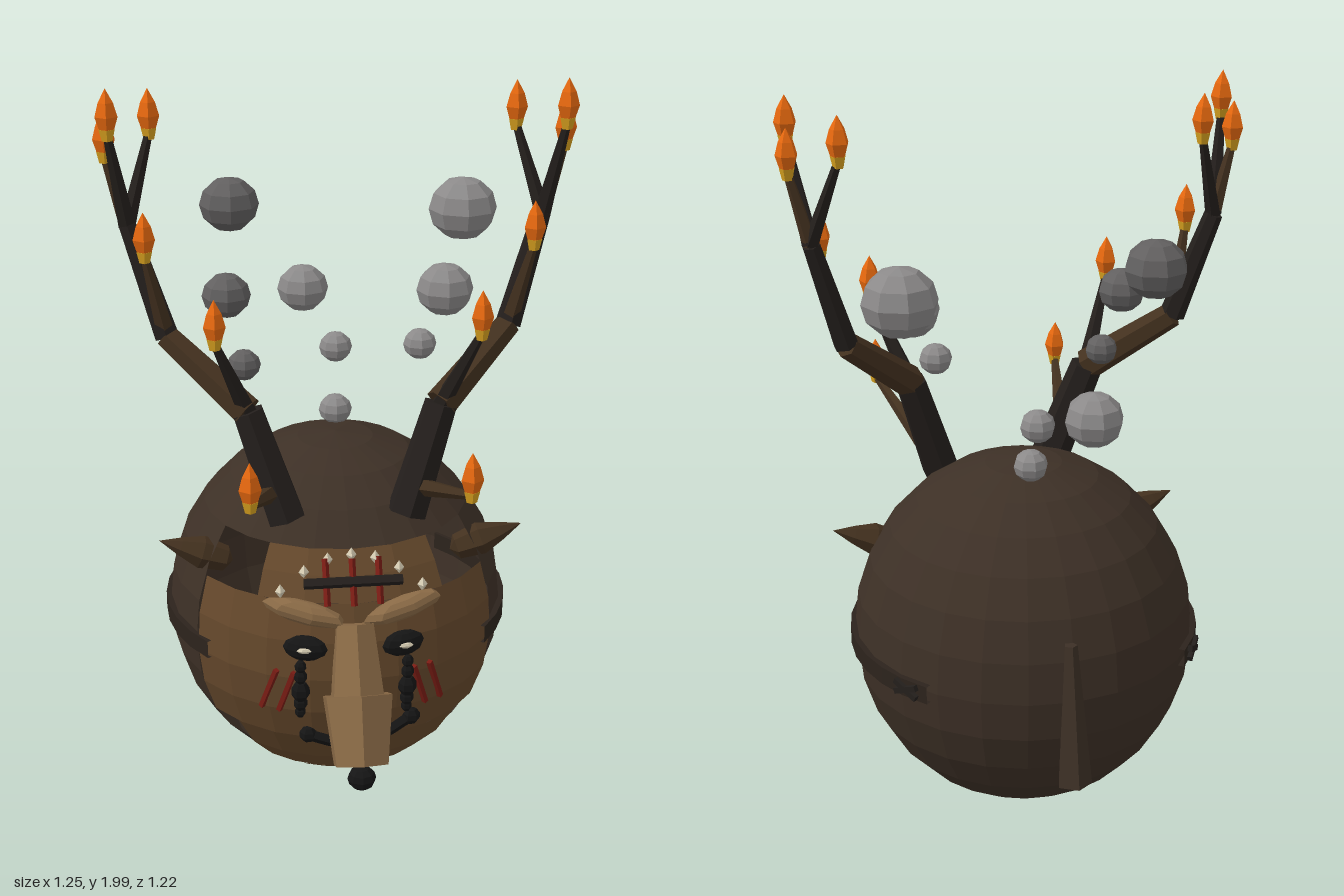
import * as THREE from 'three';
import { mergeGeometries } from 'three/addons/utils/BufferGeometryUtils.js';

const mat = (color, double) => new THREE.MeshStandardMaterial({
  color, flatShading: true, side: double ? THREE.DoubleSide : THREE.FrontSide });
const M = {
  hood: mat(0x3d3026, true), mask: mat(0x66492c, true), tan: mat(0x8a6a46), bark: mat(0x43311f),
  dark: mat(0x241f1c), black: mat(0x151515), red: mat(0x7a1c14), bone: mat(0xd8ceb4),
  flame: mat(0xe8690f), ember: mat(0xd9a21f), strap: mat(0x2c231c, true),
  smoke: mat(0x8c8a8a), soot: mat(0x626060),
};
const V = (x, y, z) => new THREE.Vector3(x, y, z);
const rad = THREE.MathUtils.degToRad;
const HEAD = V(0, 0.51, -0.07), RX = 0.47, RY = 0.5;

// z of the face surface at a given x, y
const faceZ = (x, y) =>
  HEAD.z + RX * Math.sqrt(Math.max(0, 1 - (x / RX) ** 2 - ((y - HEAD.y) / RY) ** 2));
const onFace = (x, y, lift = 0.01) => V(x, y, faceZ(x, y) + lift);

function add(parent, name, geo, material, pos) {
  const m = new THREE.Mesh(geo, material);
  m.name = name;
  if (pos) m.position.copy(pos);
  parent.add(m);
  return m;
}

// tapered stick from a to b
function limb(parent, name, a, b, ra, rb, material, sides = 6) {
  const d = b.clone().sub(a);
  const m = add(parent, name, new THREE.CylinderGeometry(rb, ra, d.length(), sides), material,
    a.clone().add(b).multiplyScalar(0.5));
  m.quaternion.setFromUnitVectors(V(0, 1, 0), d.normalize());
  return m;
}

function blob(parent, name, pos, sx, sy, sz, material, w = 8, h = 6) {
  const m = add(parent, name, new THREE.SphereGeometry(1, w, h), material, pos);
  m.scale.set(sx, sy, sz);
  return m;
}

// patch of the head ellipsoid, angles in degrees, phi measured from the front
function patch(phi0, phi1, th0, th1, segs, rows, k = 1) {
  return new THREE.SphereGeometry(1, segs, rows, rad(90 + phi0), rad(phi1 - phi0), rad(th0), rad(th1 - th0))
    .scale(RX * k, RY * k, RX * k);
}

function flame(parent, p) {
  const pts = [[0, -0.06], [0.016, -0.045], [0.03, 0], [0.02, 0.035], [0, 0.07]];
  add(parent, 'flame', new THREE.LatheGeometry(pts.map(q => new THREE.Vector2(...q)), 5), M.flame, p);
  add(parent, 'flameCup', new THREE.CylinderGeometry(0.021, 0.014, 0.03, 5), M.ember, V(p.x, p.y - 0.047, p.z));
}

function antler(s) {
  const g = new THREE.Group();
  g.name = s > 0 ? 'leftAntler' : 'rightAntler';
  const P = (x, y, z) => V(s * x, y, z);
  // main beam
  const beam = [P(0.16, 0.88, 0.21), P(0.255, 1.17, 0.16), P(0.455, 1.34, 0.03), P(0.545, 1.63, -0.02)];
  const r = [0.055, 0.045, 0.035, 0.025];
  for (let i = 0; i < 3; i++)
    limb(g, 'beam', beam[i], beam[i + 1], r[i], r[i + 1], i === 1 ? M.bark : M.dark);
  // tines, each ending in a flame
  const tines = [
    [P(0.2, 0.95, 0.2), P(0.275, 1.11, 0.52), 0.026, M.bark],
    [beam[1], P(0.34, 1.44, 0.255), 0.026, M.dark],
    [beam[2], P(0.505, 1.62, 0.08), 0.026, M.bark],
    [beam[3], P(0.48, 1.9, -0.085), 0.022, M.dark],
    [beam[3], P(0.585, 1.93, 0.05), 0.024, M.dark],
    [beam[3], P(0.595, 1.86, -0.01), 0.022, M.bark],
  ];
  for (const [a, b, ra, m] of tines) {
    limb(g, 'tine', a, V(b.x, b.y - 0.045, b.z), ra, 0.011, m, 5);
    flame(g, b);
  }
  return g;
}

function faceSide(s) {
  const g = new THREE.Group();
  g.name = s > 0 ? 'leftFace' : 'rightFace';
  // eye with a pale slit
  const eye = blob(g, 'eye', onFace(s * 0.13, 0.585), 0.06, 0.036, 0.025, M.black, 10, 6);
  eye.rotation.y = s * 0.28;
  blob(g, 'eyeSlit', onFace(s * 0.13, 0.588, 0.03), 0.025, 0.009, 0.01, M.bone, 6, 4);
  // beads hanging under the eye
  [[0.53, 0.016], [0.5, 0.018], [0.455, 0.026], [0.415, 0.019], [0.385, 0.015]].forEach(([y, r]) =>
    blob(g, 'tearBead', onFace(s * 0.143, y), r, r * 1.2, r, M.black, 6, 5));
  // cheek stripes
  for (const x of [0.16, 0.205])
    limb(g, 'cheekStripe', onFace(s * x, 0.51), onFace(s * (x + 0.038), 0.38), 0.009, 0.009, M.red, 4);
  // brow
  const brow = blob(g, 'brow', onFace(s * 0.13, 0.685, 0.025), 0.115, 0.031, 0.032, M.tan, 7, 6);
  brow.rotation.set(0, s * 0.25, s * 0.22);
  // pointed ear
  const ear = [[0, 0], [0.035, 0.02], [0.045, 0.09], [0.025, 0.15], [0, 0.21]];
  const e = add(g, 'ear', new THREE.LatheGeometry(ear.map(q => new THREE.Vector2(...q)), 6), M.bark, V(s * 0.3, 0.71, 0.1));
  e.quaternion.setFromUnitVectors(V(0, 1, 0), V(s * 0.94, 0.33, 0).normalize());
  // side strap with its clasp
  const rect = [[0.455, -0.025], [0.482, -0.025], [0.482, 0.025], [0.455, 0.025], [0.455, -0.025]]
    .map(q => new THREE.Vector2(...q));
  add(g, 'strap', new THREE.LatheGeometry(rect, 8, rad(s > 0 ? 52 : 228), rad(80)), M.strap, V(0, 0.505, HEAD.z));
  const a = rad(124) * s;
  const clasp = new THREE.Group();
  clasp.name = 'clasp';
  clasp.position.set(0.482 * Math.sin(a), 0.505, HEAD.z + 0.482 * Math.cos(a));
  clasp.rotation.y = a;
  for (const t of [-1, 1])
    add(clasp, 'claspBar', new THREE.BoxGeometry(0.08, 0.016, 0.02), M.dark).rotation.z = t * 0.4;
  g.add(clasp);
  return g;
}

export function createModel() {
  const model = new THREE.Group();
  model.name = 'hornedMaskHead';

  // round hood with an opening for the face
  add(model, 'hood', mergeGeometries([
    patch(-180, 180, 0, 51.4, 24, 4), patch(60, 300, 51.4, 128.6, 16, 6), patch(-180, 180, 128.6, 180, 24, 4),
  ]), M.hood, HEAD);

  // mask in stepped rows
  add(model, 'mask', mergeGeometries([
    [34, 51.4, 68, 4, 1], [58, 68, 117, 8, 4], [45, 117, 143, 6, 2], [25, 143, 157, 4, 1],
  ].map(([p, t0, t1, n, rows]) => patch(-p, p, t0, t1, n, rows, 1.012))), M.mask, HEAD);

  // snout: bridge, muzzle, nose and mouth
  limb(model, 'noseBridge', V(0, 0.65, 0.385), V(0, 0.46, 0.465), 0.055, 0.078, M.tan);
  limb(model, 'muzzle', V(0, 0.475, 0.455), V(0, 0.315, 0.54), 0.1, 0.078, M.tan);
  blob(model, 'nose', V(0, 0.285, 0.555), 0.038, 0.033, 0.035, M.black);
  const mouth = new THREE.CatmullRomCurve3([[-0.12, 0.3], [-0.05, 0.275], [0.05, 0.275], [0.16, 0.34]]
    .map(([x, y]) => onFace(x, y)));
  add(model, 'mouth', new THREE.TubeGeometry(mouth, 10, 0.017, 5), M.black);
  for (const t of [0, 1])
    blob(model, 'mouthCorner', mouth.getPoint(t), 0.025, 0.025, 0.022, M.black, 6, 5);

  // forehead bar, red sticks and bone studs
  limb(model, 'foreheadBar', V(-0.13, 0.76, 0.36), V(0.13, 0.76, 0.36), 0.015, 0.015, M.dark, 5);
  for (const x of [-0.07, 0, 0.07])
    limb(model, 'foreheadStick', onFace(x, 0.7, 0.02), onFace(x, 0.81, 0.02), 0.009, 0.009, M.red, 4);
  for (let i = -3; i <= 3; i++) {
    const x = i * 0.063;
    add(model, 'stud', new THREE.OctahedronGeometry(0.014), M.bone, onFace(x, 0.815 - 2.6 * x * x)).scale.y = 1.5;
  }

  for (const s of [-1, 1]) model.add(faceSide(s), antler(s));

  // hanging lock at the back
  limb(model, 'backLock', V(0.01, 0.67, -0.525), V(0.01, 0.285, -0.565), 0.018, 0.048, M.hood, 5);

  // floating puffs of smoke: x, y, z, radius
  const puffs = [
    [-0.265, 1.59, -0.335, 0.083], [-0.295, 1.435, -0.005, 0.065], [-0.255, 1.255, 0.04, 0.045],
    [-0.045, 1.28, -0.52, 0.075], [0.025, 1.18, -0.28, 0.047], [0.013, 1.03, -0.18, 0.047],
    [0.22, 1.285, 0.01, 0.045], [0.288, 1.43, -0.008, 0.077], [0.39, 1.56, -0.33, 0.097],
  ];
  puffs.forEach(([x, y, z, r], i) =>
    blob(model, 'smokePuff', V(x, y, z), r, r * 0.92, r, i < 3 ? M.soot : M.smoke));
  return model;
}
